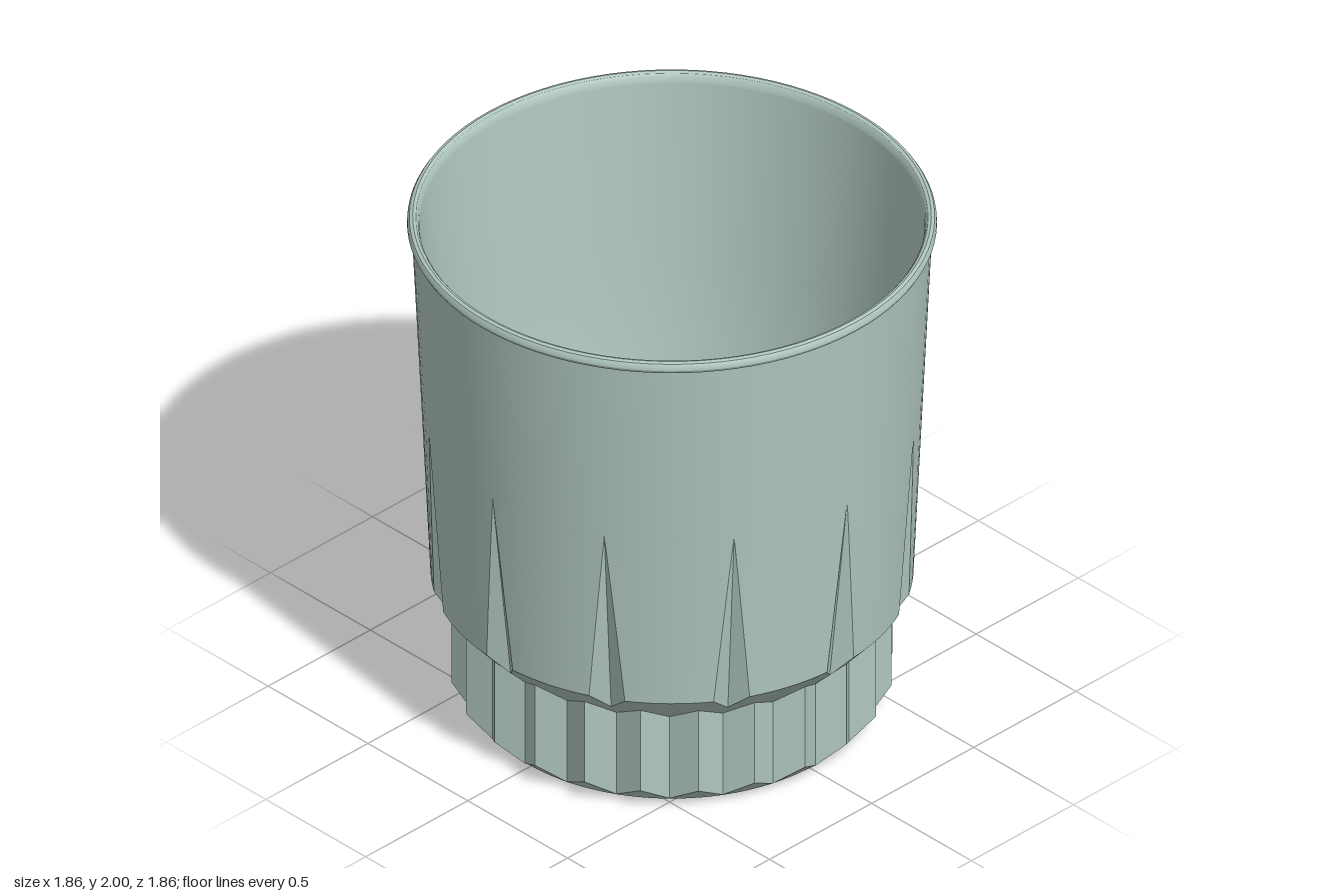
import * as THREE from 'three';
import { toCreasedNormals } from 'three/addons/utils/BufferGeometryUtils.js';

const WEDGES = 12;             // one pointed groove per wedge
const HALF = Math.PI / WEDGES; // half a wedge
const HALF_COLS = 5;
const lerp = THREE.MathUtils.lerp;

const polar = (angle, r, y) => new THREE.Vector3(Math.sin(angle) * r, y, Math.cos(angle) * r);

// Zigzag ring: valleys on the wedge centre and edge, one ridge between them
function zigzagRow(ridgeR, ridgeY, valleyR, valleyY) {
  const ridge = polar(HALF / 2, ridgeR, ridgeY);
  const blend = [0, 0.25, 0.5, 1, 0.5, 0];
  return blend.map((f, k) => polar(k > 3 ? HALF : 0, valleyR, valleyY).lerp(ridge, f));
}

// Plain ring
const circleRow = (r, y) =>
  Array.from({ length: HALF_COLS + 1 }, (_, k) => polar((k / HALF_COLS) * HALF, r, y));

// Body ring cut by a V groove; t = 0 at the shoulder, 1 at the groove tip
function grooveRow(t) {
  const edge = 0.077 * (1 - t);
  const row = [polar(0, lerp(0.79, 0.878, t), lerp(0.44, 1.22, t))];
  for (let k = 0; k < HALF_COLS; k++) {
    row.push(polar(lerp(edge, HALF, k / (HALF_COLS - 1)), lerp(0.846, 0.878, t), lerp(0.51, 1.22, t)));
  }
  return row;
}

// Skin half-wedge rows, mirrored and repeated around the axis
function skin(rows) {
  const cols = WEDGES * HALF_COLS * 2;
  const positions = [];
  const index = [];
  const up = new THREE.Vector3(0, 1, 0);
  for (const row of rows) {
    for (let w = 0; w < WEDGES; w++) {
      for (let s = -HALF_COLS; s < HALF_COLS; s++) {
        const p = row[Math.abs(s)].clone();
        if (s < 0) p.x *= -1;
        p.applyAxisAngle(up, w * HALF * 2);
        positions.push(p.x, p.y, p.z);
      }
    }
  }
  for (let j = 0; j < rows.length - 1; j++) {
    for (let i = 0; i < cols; i++) {
      const a = j * cols + i;
      const b = j * cols + ((i + 1) % cols);
      index.push(a, b, b + cols, a, b + cols, a + cols);
    }
  }
  const geometry = new THREE.BufferGeometry();
  geometry.setAttribute('position', new THREE.Float32BufferAttribute(positions, 3));
  geometry.setIndex(index);
  return toCreasedNormals(geometry, 0.4);
}

function lathe(profile) {
  const points = profile.map(([x, y]) => new THREE.Vector2(x, y));
  return toCreasedNormals(new THREE.LatheGeometry(points, 96), 0.5);
}

export function createModel() {
  const group = new THREE.Group();
  const glass = new THREE.MeshStandardMaterial({ color: 0xb0c6c0 });
  glass.name = 'pale green glass';

  const add = (name, geometry) => {
    const mesh = new THREE.Mesh(geometry, glass);
    mesh.name = name;
    group.add(mesh);
  };

  // Underside with foot ring and rounded recess
  add('base', lathe([
    [0, 0.1], [0.36, 0.1], [0.41, 0.09], [0.45, 0.06], [0.475, 0.015],
    [0.53, 0.005], [0.58, 0], [0.64, 0], [0.68, 0.003], [0.7, 0.01],
  ]));

  // Fluted foot with its bevels
  add('flutedFoot', skin([
    circleRow(0.7, 0.01),
    zigzagRow(0.777, 0.09, 0.72, 0.025),
    zigzagRow(0.777, 0.43, 0.72, 0.37),
  ]));

  // Sloping shoulder and grooved lower wall
  add('groovedWall', skin([
    zigzagRow(0.777, 0.43, 0.72, 0.37),
    ...[0, 0.25, 0.5, 0.75, 1].map(grooveRow),
  ]));

  // Plain upper wall
  add('upperWall', lathe([[0.878, 1.22], [0.895, 1.59], [0.912, 1.955]]));

  // Rounded rim bead
  add('rim', lathe([
    [0.912, 1.955], [0.922, 1.96], [0.928, 1.972], [0.927, 1.985], [0.92, 1.996],
    [0.908, 2], [0.897, 1.996], [0.889, 1.985], [0.885, 1.965],
  ]));

  // Inner wall, shoulder and dished floor
  add('interior', lathe([
    [0.885, 1.965], [0.82, 1.25], [0.755, 0.6], [0.735, 0.52], [0.7, 0.44], [0.655, 0.38], [0.612, 0.34],
    [0.6, 0.28], [0.575, 0.23], [0.535, 0.19], [0.48, 0.167], [0.4, 0.16], [0, 0.16],
  ]));

  return group;
}
